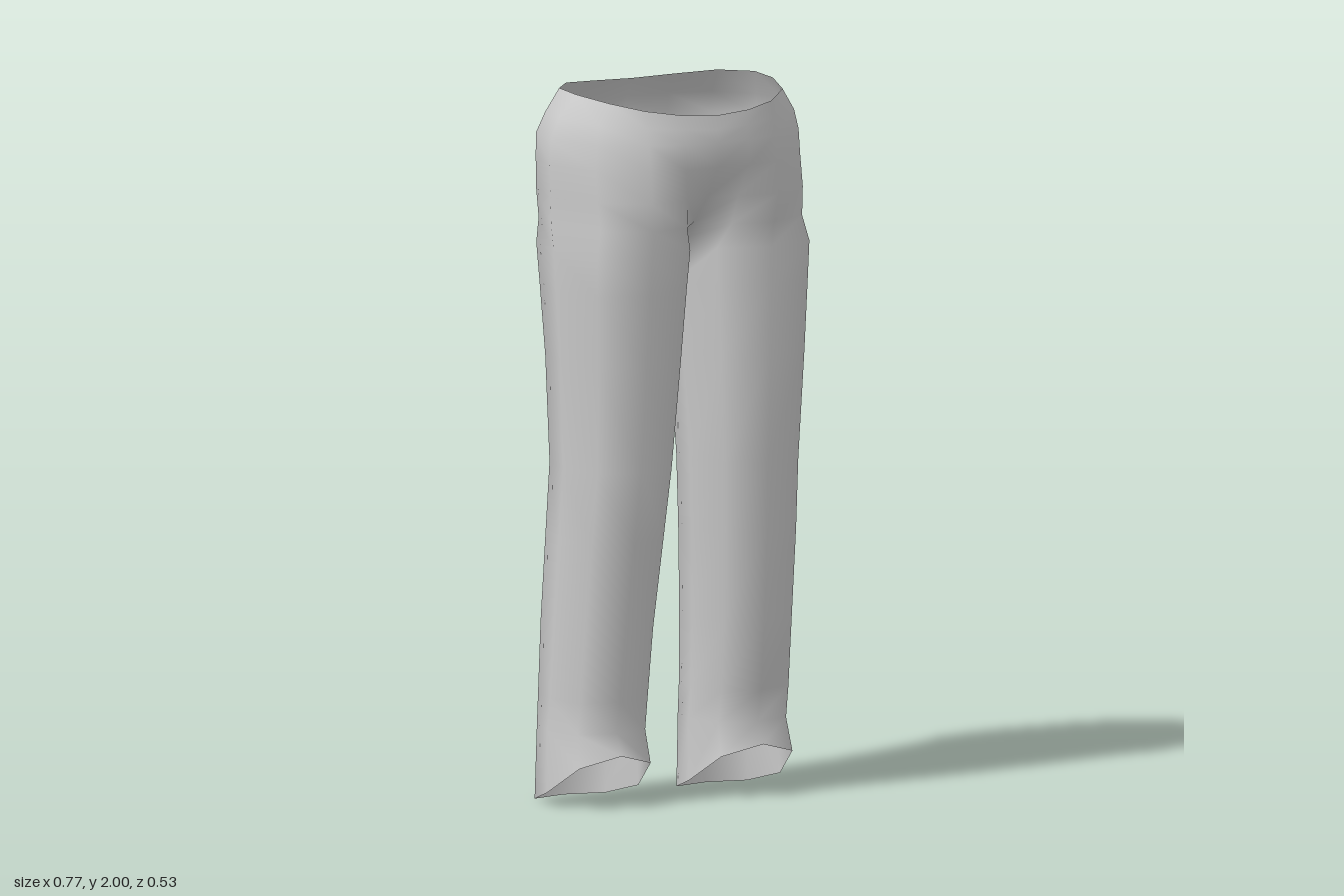
import * as THREE from 'three';
import { mergeVertices } from 'three/addons/utils/BufferGeometryUtils.js';

// Leg sections: height, inner x, outer x, front z, back z
const LEG = [
  [0.21, 0.085, 0.362, 0.092, -0.2],
  [0.3, 0.087, 0.36, 0.11, -0.198],
  [0.5, 0.082, 0.358, 0.135, -0.19],
  [0.75, 0.065, 0.356, 0.167, -0.17],
  [0.95, 0.05, 0.352, 0.19, -0.158],
  [1.25, 0.027, 0.365, 0.212, -0.17],
  [1.45, 0.01, 0.374, 0.224, -0.195],
  [1.56, 0, 0.378, 0.232, -0.212],
];

// Half sections of the hips, from front centre round the side to back centre: height, then x, z pairs
const HIPS = [
  [1.63, 0, 0.13, 0.07, 0.215, 0.19, 0.242, 0.32, 0.17, 0.38, 0, 0.33, -0.16, 0.19, -0.235, 0.06, -0.19, 0, -0.11],
  [1.71, 0, 0.205, 0.08, 0.235, 0.2, 0.25, 0.325, 0.165, 0.383, 0, 0.335, -0.165, 0.2, -0.262, 0.08, -0.25, 0, -0.2],
  [1.8, 0, 0.262, 0.1, 0.262, 0.2, 0.243, 0.325, 0.15, 0.385, 0, 0.345, -0.15, 0.24, -0.25, 0.12, -0.266, 0, -0.255],
  [1.87, 0, 0.268, 0.1, 0.257, 0.2, 0.23, 0.32, 0.15, 0.381, 0, 0.35, -0.14, 0.26, -0.243, 0.14, -0.267, 0, -0.266],
  [1.93, 0, 0.264, 0.1, 0.254, 0.2, 0.222, 0.31, 0.142, 0.356, 0, 0.335, -0.115, 0.25, -0.212, 0.13, -0.246, 0, -0.247],
];
const WAIST = [0, 0.258, 0.11, 0.245, 0.2, 0.21, 0.275, 0.14, 0.312, 0.02, 0.31, -0.08, 0.24, -0.165, 0.13, -0.205, 0, -0.22];
const WAIST_Y = [1.945, 1.952, 1.965, 1.983, 1.995, 2, 1.998, 1.99, 1.985];
const SIDES = 8;

// Rounded eight-sided leg section, starting and ending on the inseam
function legRing([y, x0, x1, zf, zb]) {
  const ring = [];
  for (let i = 0; i <= SIDES; i++) {
    const a = Math.PI - (i % SIDES) * Math.PI * 2 / SIDES;
    const k = i % 2 ? 1.1 : 1;
    ring.push([
      (x0 + x1) / 2 + Math.cos(a) * k * (x1 - x0) / 2,
      y,
      (zf + zb) / 2 + Math.sin(a) * k * (zf - zb) / 2,
    ]);
  }
  return ring;
}

const pairsToRing = (pairs, heightAt) =>
  Array.from({ length: SIDES + 1 }, (_, i) => [pairs[2 * i], heightAt(i), pairs[2 * i + 1]]);

function createRings() {
  // Hem, cut higher over the foot than at the heel
  const hem = legRing([0, 0.08, 0.37, 0.12, -0.205])
    .map(([x, , z]) => [x, 0.15 * ((z + 0.205) / 0.325) ** 2, z]);
  const hips = HIPS.map(([y, ...pairs]) =>
    // The highest hip section dips at the front to follow the waist
    pairsToRing(pairs, (i) => (y > 1.9 ? y - 0.025 * Math.max(0, 1 - i / 4) : y)));
  return [hem, ...LEG.map(legRing), ...hips, pairsToRing(WAIST, (i) => WAIST_Y[i])];
}

export function createModel() {
  const rings = createRings();
  const positions = [];
  const indices = [];
  // Left half, then its mirror image, welded along the centre seam
  for (const side of [1, -1]) {
    const base = positions.length / 3;
    for (const ring of rings) {
      for (const [x, y, z] of ring) positions.push(x * side, y, z);
    }
    for (let r = 0; r < rings.length - 1; r++) {
      for (let i = 0; i < SIDES; i++) {
        const a = base + r * (SIDES + 1) + i;
        const b = a + 1;
        const c = b + SIDES + 1;
        const d = c - 1;
        if (side > 0) indices.push(a, b, c, a, c, d);
        else indices.push(a, c, b, a, d, c);
      }
    }
  }
  let geometry = new THREE.BufferGeometry();
  geometry.setAttribute('position', new THREE.Float32BufferAttribute(positions, 3));
  geometry.setIndex(indices);
  geometry = mergeVertices(geometry, 1e-4);
  geometry.computeVertexNormals();

  const trousers = new THREE.Mesh(
    geometry,
    new THREE.MeshStandardMaterial({ color: 0xcccccc, side: THREE.DoubleSide }),
  );
  trousers.name = 'trousers';

  const model = new THREE.Group();
  model.name = 'trousersModel';
  model.add(trousers);
  return model;
}
